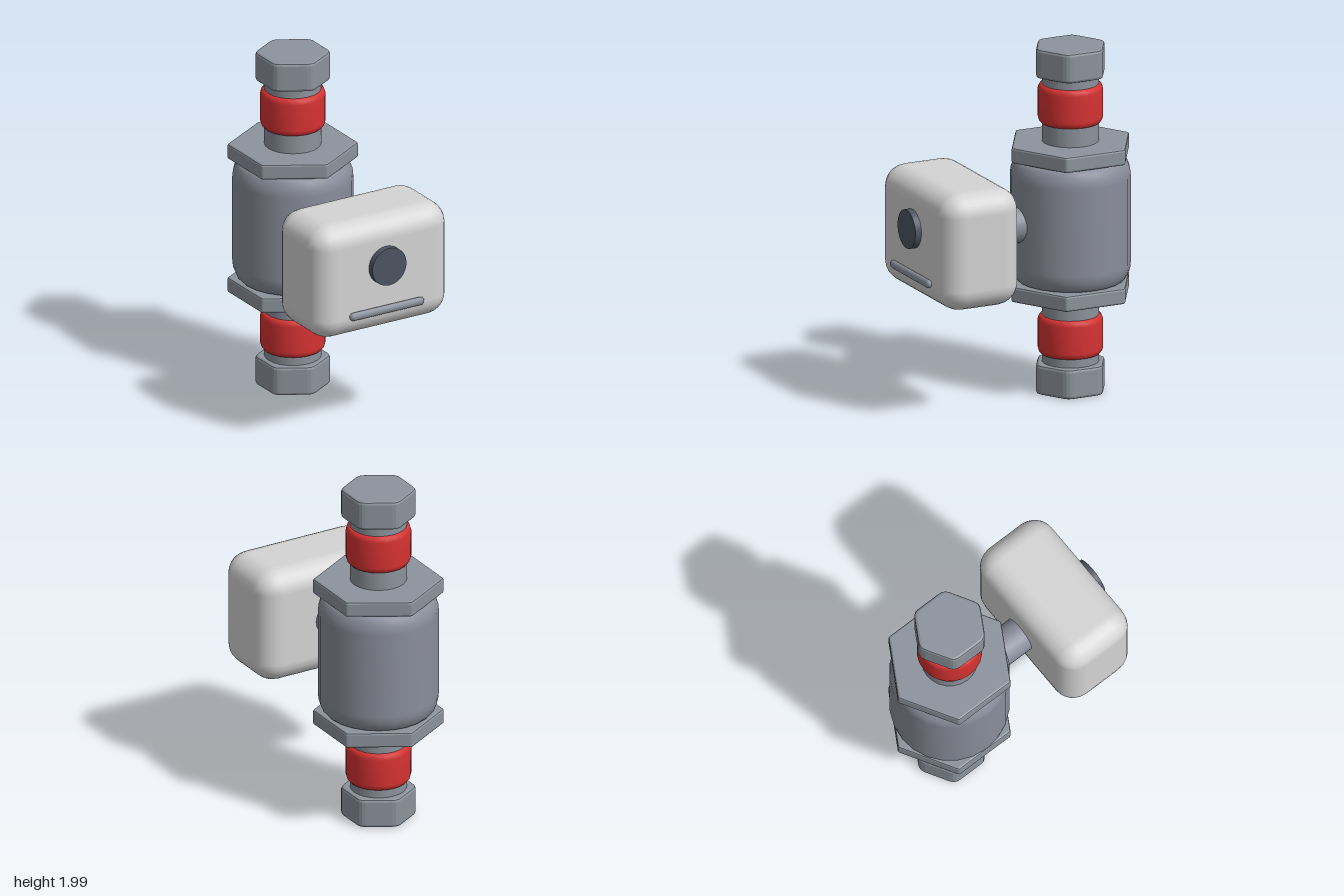
import * as THREE from 'three';
import { RoundedBoxGeometry } from 'three/addons/geometries/RoundedBoxGeometry.js';

const AXIS_Z = -0.325;

function material(name, color) {
  const m = new THREE.MeshStandardMaterial({ color });
  m.name = name;
  return m;
}

// Upright hexagonal prism, corners towards front and back, bevelled top and bottom
function hexGeometry(apothem, height, bevel, cornerCut) {
  const r = apothem / Math.cos(Math.PI / 6);
  const corners = [];
  for (let i = 0; i < 6; i++) {
    const a = Math.PI / 2 + (i * Math.PI) / 3;
    corners.push(new THREE.Vector2(r * Math.cos(a), r * Math.sin(a)));
  }
  const shape = new THREE.Shape();
  corners.forEach((c, i) => {
    const a = c.clone().lerp(corners[(i + 5) % 6], cornerCut / r);
    const b = c.clone().lerp(corners[(i + 1) % 6], cornerCut / r);
    if (i === 0) shape.moveTo(a.x, a.y);
    else shape.lineTo(a.x, a.y);
    shape.quadraticCurveTo(c.x, c.y, b.x, b.y);
  });
  shape.closePath();
  const geometry = new THREE.ExtrudeGeometry(shape, {
    depth: height - 2 * bevel, bevelEnabled: true, bevelThickness: bevel,
    bevelSize: bevel, bevelOffset: -bevel, bevelSegments: 2, curveSegments: 3,
  });
  geometry.translate(0, 0, bevel - height / 2);
  geometry.rotateX(-Math.PI / 2);
  return geometry;
}

function lathe(points, segments) {
  return new THREE.LatheGeometry(points.map(([x, y]) => new THREE.Vector2(x, y)), segments);
}

export function createModel() {
  const steel = material('steel', 0x8c939d);
  const casting = material('casting grey', 0x8a8e9b);
  const red = material('red', 0xd63232);
  const shell = material('light shell', 0xd3d4d3);
  const dark = material('dark grey', 0x4d5461);

  const model = new THREE.Group();
  model.name = 'inlineValve';
  function add(name, geometry, mat, x, y, z) {
    const mesh = new THREE.Mesh(geometry, mat);
    mesh.name = name;
    mesh.position.set(x, y, z);
    model.add(mesh);
    return mesh;
  }

  // Central body with rounded shoulders
  const half = [[0.335, 0.25], [0.331, 0.29], [0.315, 0.33], [0.298, 0.348], [0.275, 0.356], [0, 0.356]];
  const profile = [...half.map(([r, y]) => [r, -y]).reverse(), ...half];
  add('body', lathe(profile, 24), casting, 0, 1.005, AXIS_Z);

  // Matching pipe fittings above and below the body
  const flange = hexGeometry(0.315, 0.09, 0.012, 0.01);
  const nut = hexGeometry(0.186, 0.17, 0.016, 0.034);
  const pipe = new THREE.CylinderGeometry(0.158, 0.158, 0.5, 24);
  const ring = lathe([
    [0.155, -0.11], [0.166, -0.11], [0.176, -0.098], [0.182, -0.078],
    [0.182, 0.078], [0.176, 0.098], [0.166, 0.11], [0.155, 0.11],
  ], 24);
  for (const [prefix, s] of [['upper', 1], ['lower', -1]]) {
    const at = (d) => 1.005 + s * d;
    add(prefix + 'Flange', flange, steel, 0, at(0.4), AXIS_Z);
    add(prefix + 'Pipe', pipe, steel, 0, at(0.65), AXIS_Z);
    add(prefix + 'Ring', ring, red, 0, at(0.665), AXIS_Z);
    add(prefix + 'EndNut', nut, steel, 0, at(0.91), AXIS_Z);
  }

  // Neck joining the body to the control box
  const neck = add('neck', new THREE.CylinderGeometry(0.102, 0.102, 0.36, 24), casting, 0, 1.005, 0.03);
  neck.rotation.x = Math.PI / 2;

  // Control box with its button and bar
  add('controlBox', new RoundedBoxGeometry(0.874, 0.672, 0.476, 3, 0.125), shell, 0, 1.004, 0.412);
  const button = add('button', new THREE.CylinderGeometry(0.111, 0.111, 0.06, 32), dark, 0, 1.067, 0.657);
  button.rotation.x = Math.PI / 2;
  const bar = add('bar', new THREE.CapsuleGeometry(0.024, 0.434, 4, 12), steel, 0, 0.805, 0.66);
  bar.rotation.z = Math.PI / 2;
  bar.scale.z = 0.75;

  return model;
}
